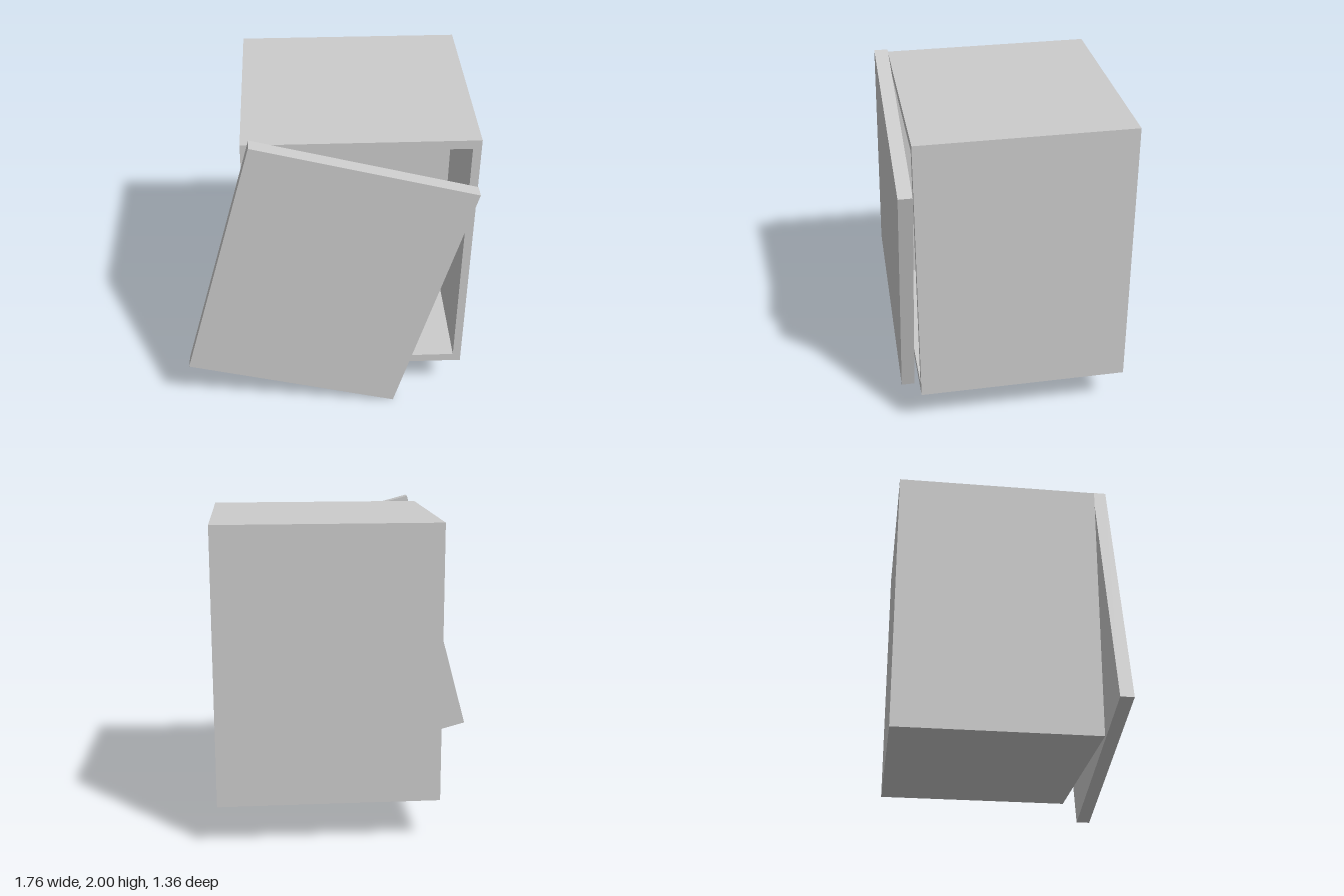
import * as THREE from 'three';

const WIDTH = 1.364, HEIGHT = 1.705, WALL = 0.05;
const BACK = -0.682, FRONT = 0.594, RECESS = -0.12;

// Adds a rectangle, centred on the origin, to a shape or path
function rectangle(path, w, h) {
  path.moveTo(-w / 2, -h / 2);
  path.lineTo(w / 2, -h / 2);
  path.lineTo(w / 2, h / 2);
  path.lineTo(-w / 2, h / 2);
  path.closePath();
  return path;
}

export function createModel() {
  const model = new THREE.Group();
  model.name = 'cabinet';
  const material = new THREE.MeshStandardMaterial({ color: 0xcccccc, flatShading: true });

  function part(name, geometry, parent) {
    const mesh = new THREE.Mesh(geometry, material);
    mesh.name = name;
    parent.add(mesh);
    return mesh;
  }

  // Body: four walls around an opening, closed by a deep rear block
  const body = new THREE.Group();
  body.name = 'body';
  body.position.set(0.194, 1.112, 0);
  model.add(body);

  const innerW = WIDTH - 2 * WALL, innerH = HEIGHT - 2.2 * WALL;
  const outline = rectangle(new THREE.Shape(), WIDTH, HEIGHT);
  outline.holes.push(rectangle(new THREE.Path(), innerW, innerH));
  const walls = new THREE.ExtrudeGeometry(outline, { depth: FRONT - BACK, bevelEnabled: false });
  part('walls', walls, body).position.z = BACK;

  const block = new THREE.BoxGeometry(innerW, innerH, RECESS - BACK);
  part('backPanel', block, body).position.z = (RECESS + BACK) / 2;

  // Door: a slab hanging askew in front of the opening
  const door = part('door', new THREE.BoxGeometry(WIDTH, HEIGHT, 0.084), model);
  door.position.set(0, 1, 0.64);
  door.rotation.z = -THREE.MathUtils.degToRad(15);

  return model;
}
